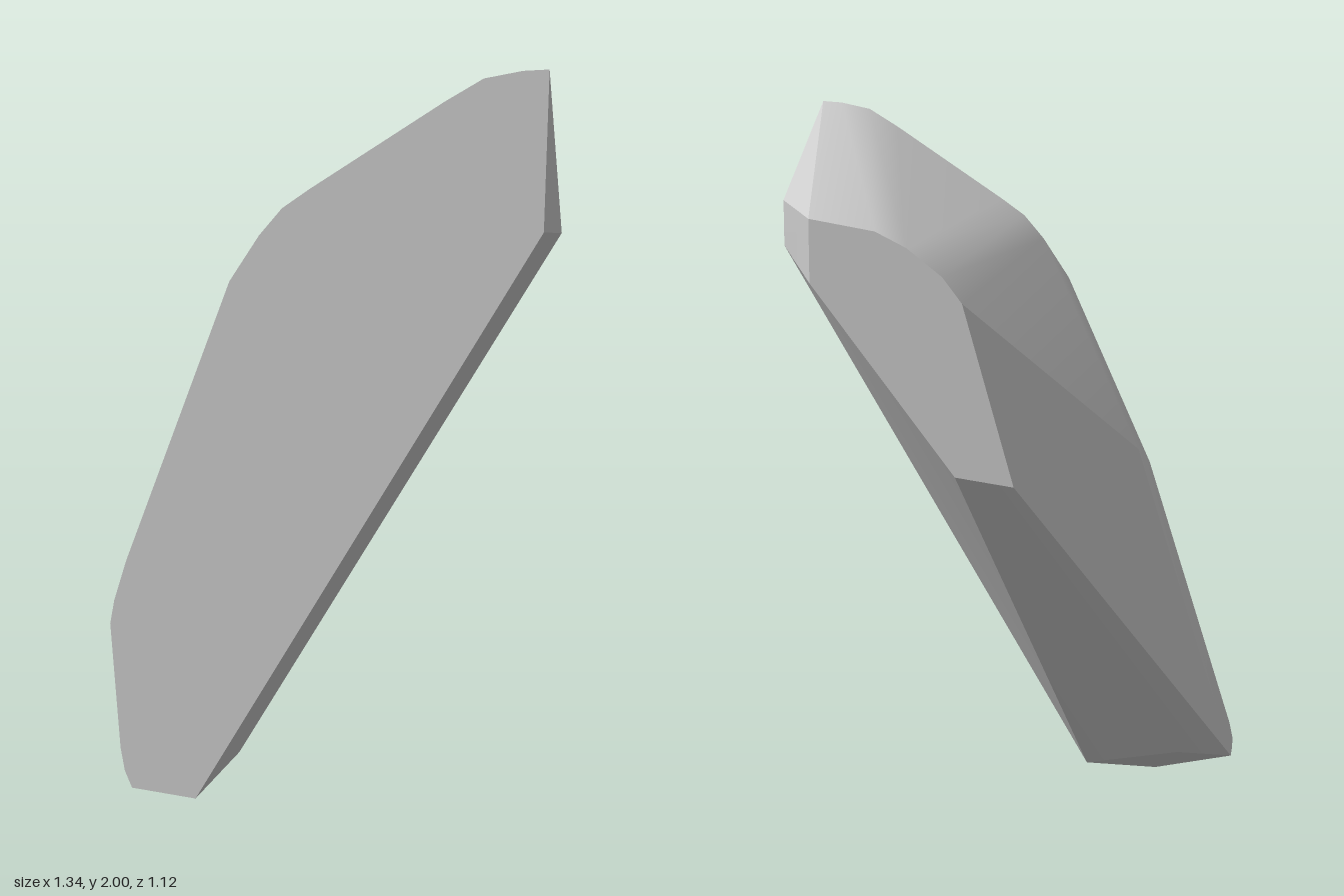
import * as THREE from 'three';
import { ConvexGeometry } from 'three/addons/geometries/ConvexGeometry.js';
import { toCreasedNormals } from 'three/addons/utils/BufferGeometryUtils.js';

// Cross-sections [x, y] of the leaning slab, one set per depth z
const frontOutline = [
  [-0.43, 0], [-0.24, 0], [0.67, 1.63], [0.67, 2], [0.61, 1.995], [0.52, 1.975], [0.43, 1.92],
  [0.1, 1.7], [0.03, 1.65], [-0.03, 1.58], [-0.11, 1.46], [-0.42, 0.68], [-0.46, 0.56],
  [-0.475, 0.49], [-0.46, 0.12], [-0.45, 0.05],
];
const backOutline = [
  [-0.15, 1.01], [0, 1.03], [0.37, 1.51], [0.37, 1.67], [0.2, 1.64], [0.12, 1.6],
  [0.03, 1.53], [-0.02, 1.465],
];
const sections = [
  { z: 0.56, points: frontOutline },
  { z: 0.28, points: [[-0.22, 0], [-0.43, 0], [0.66, 1.575]] },
  { z: 0.18, points: [[-0.655, 0.19]] },
  { z: 0.13, points: [[-0.42, 0.94], [-0.668, 0.16]] },
  { z: 0.08, points: [[-0.42, 0.975], [-0.67, 0.15]] },
  { z: 0.02, points: [[-0.67, 0.145], [-0.52, 0.145], [-0.395, 1.02]] },
  { z: -0.27, points: [[0.53, 1.59], [0.53, 1.71]] },
  { z: -0.56, points: backOutline },
];

export function createModel() {
  const group = new THREE.Group();
  group.name = 'leaningRock';

  // Convex skin over all sections, soft bevels with sharp main edges
  const points = sections.flatMap(({ z, points }) => points.map(([x, y]) => new THREE.Vector3(x, y, z)));
  const geometry = toCreasedNormals(new ConvexGeometry(points), 0.4);
  const slab = new THREE.Mesh(geometry, new THREE.MeshStandardMaterial({ color: 0xcccccc }));
  slab.name = 'facetedSlab';
  group.add(slab);
  return group;
}
